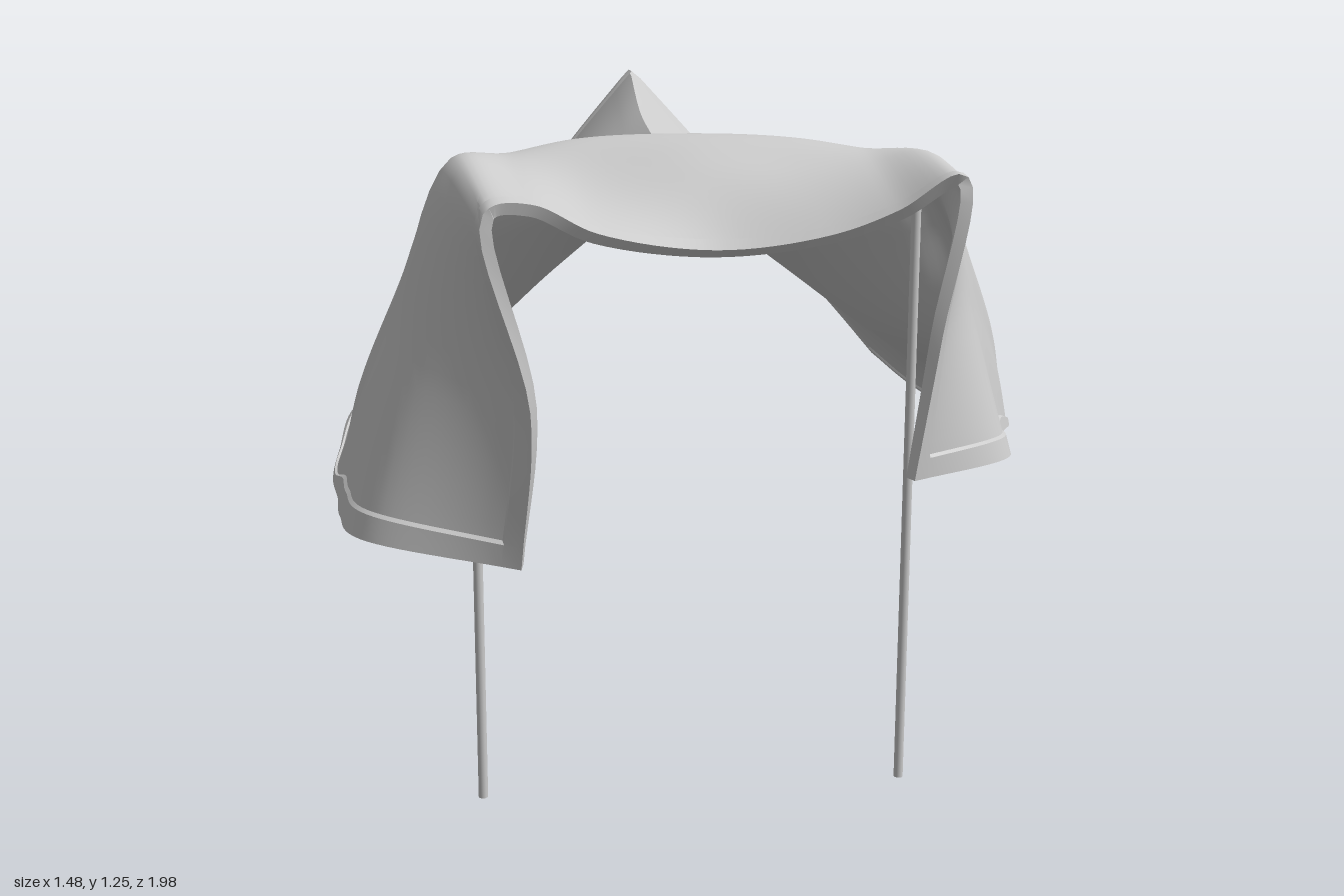
import * as THREE from 'three';
import { toCreasedNormals } from 'three/addons/utils/BufferGeometryUtils.js';

const line = (...pts) => new THREE.CatmullRomCurve3(pts.map(p => new THREE.Vector3(...p)));

// Lines running back to front along the sheet, one point per station
const ridge = line([-0.02, 1.21, -0.965], [-0.02, 1.155, -0.5], [-0.01, 1.14, -0.05], [-0.01, 1.133, 0.3],
  [0, 1.145, 0.565], [0, 1.237, 0.63], [0.01, 1.2, 0.75], [0.04, 1.065, 0.885]);

// Each side: quarter, valley, fold from pole top to hem, skirt, hem
const leftSide = [
  line([0.13, 1.045, -0.975], [0.2, 0.95, -0.5], [0.25, 0.925, -0.02], [0.24, 0.935, 0.3],
    [0.2, 1.095, 0.545], [0.2, 1.228, 0.63], [0.2, 1.19, 0.76], [0.24, 1.09, 0.895]),
  line([0.28, 0.875, -0.98], [0.37, 0.785, -0.5], [0.52, 0.69, 0], [0.5, 0.775, 0.3],
    [0.42, 1.035, 0.52], [0.33, 1.205, 0.63], [0.33, 1.2, 0.76], [0.36, 1.135, 0.91]),
  line([0.43, 0.705, -0.985], [0.53, 0.63, -0.5], [0.69, 0.565, 0.01], [0.655, 0.775, 0.3],
    [0.53, 1.05, 0.5], [0.46, 1.175, 0.63], [0.44, 1.215, 0.77], [0.46, 1.195, 0.93]),
  line([0.55, 0.57, -0.99], [0.62, 0.54, -0.5], [0.712, 0.542, 0.02], [0.685, 0.68, 0.3],
    [0.6, 0.84, 0.5], [0.55, 0.89, 0.65], [0.505, 0.93, 0.79], [0.42, 0.93, 0.948]),
  line([0.655, 0.445, -0.99], [0.68, 0.47, -0.5], [0.728, 0.52, 0.03], [0.705, 0.585, 0.3],
    [0.645, 0.625, 0.5], [0.605, 0.645, 0.66], [0.575, 0.665, 0.82], [0.38, 0.672, 0.958]),
];

const rightSide = [
  line([-0.16, 1.04, -0.975], [-0.17, 1.02, -0.5], [-0.25, 0.93, -0.05], [-0.24, 0.935, 0.3],
    [-0.2, 1.09, 0.545], [-0.2, 1.228, 0.63], [-0.19, 1.185, 0.76], [-0.17, 1.1, 0.92]),
  line([-0.29, 0.87, -0.98], [-0.33, 0.85, -0.55], [-0.5, 0.68, -0.05], [-0.49, 0.73, 0.3],
    [-0.4, 1.02, 0.52], [-0.32, 1.2, 0.63], [-0.31, 1.2, 0.77], [-0.28, 1.155, 0.955]),
  line([-0.42, 0.69, -0.985], [-0.53, 0.62, -0.6], [-0.665, 0.5, -0.05], [-0.615, 0.72, 0.3],
    [-0.485, 1.02, 0.5], [-0.43, 1.17, 0.63], [-0.41, 1.215, 0.78], [-0.35, 1.15, 0.985]),
  line([-0.53, 0.535, -0.99], [-0.64, 0.49, -0.64], [-0.697, 0.463, -0.08], [-0.655, 0.6, 0.3],
    [-0.575, 0.8, 0.5], [-0.545, 0.86, 0.65], [-0.51, 0.87, 0.8], [-0.28, 0.8, 0.93]),
  line([-0.63, 0.385, -0.99], [-0.73, 0.39, -0.67], [-0.72, 0.43, -0.1], [-0.69, 0.485, 0.3],
    [-0.66, 0.51, 0.5], [-0.64, 0.525, 0.66], [-0.59, 0.535, 0.82], [-0.305, 0.49, 0.865]),
];

// Hem width at either end of each parameter
const hemU = [0.014, 0.014], hemV = [0.007, 0.017];

// Sample parameters, with an extra pair at each end for the hem step
function params(n, [start, end]) {
  const list = [0, start, start + 0.002];
  for (let i = 1; i < n; i++) if (i / n > start + 0.004 && i / n < 0.996 - end) list.push(i / n);
  return [...list, 0.998 - end, 1 - end, 1];
}

// One row across the sheet: a sharp ridge at the back, blending to a smooth arch in front
function crossSection(v) {
  const top = ridge.getPoint(v);
  const left = leftSide.map(c => c.getPoint(v));
  const right = rightSide.map(c => c.getPoint(v));
  const halves = [right, left].map(side => new THREE.CatmullRomCurve3([top, ...side]));
  const whole = new THREE.CatmullRomCurve3([...right.reverse(), top, ...left]);
  const arch = THREE.MathUtils.smoothstep(v, 0.5, 0.7);
  return u => halves[u < 0.5 ? 0 : 1].getPoint(Math.abs(u * 2 - 1)).lerp(whole.getPoint(u), arch);
}

// Cloth of real thickness lofted over the lines, thicker along the hem
function clothGeometry() {
  const us = params(80, hemU), vs = params(98, hemV);
  const nu = us.length, nv = vs.length, count = nu * nv;
  const mid = [];
  for (const v of vs) {
    const section = crossSection(v);
    for (const u of us) mid.push(...section(u).toArray());
  }
  const upper = [];
  for (let j = 0; j < nv - 1; j++) {
    for (let i = 0; i < nu - 1; i++) {
      const a = j * nu + i, b = a + nu;
      upper.push(a, b, a + 1, a + 1, b, b + 1);
    }
  }
  const sheet = new THREE.BufferGeometry();
  sheet.setAttribute('position', new THREE.Float32BufferAttribute(mid, 3));
  sheet.setIndex(upper);
  sheet.computeVertexNormals();
  const normals = sheet.attributes.normal.array;

  // Push both faces away from the middle surface
  const position = new Float32Array(count * 6);
  for (let k = 0; k < count; k++) {
    const i = k % nu, j = Math.floor(k / nu);
    const hem = i < 2 || j < 2 || i > nu - 3 || j > nv - 3;
    const half = hem ? 0.011 : 0.006;
    for (let c = 0; c < 3; c++) {
      const m = mid[k * 3 + c], o = normals[k * 3 + c] * half;
      position[k * 3 + c] = m + o;
      position[(count + k) * 3 + c] = m - o;
    }
  }
  const index = [...upper];
  for (let t = 0; t < upper.length; t += 3) {
    index.push(upper[t] + count, upper[t + 2] + count, upper[t + 1] + count);
  }
  // Rim joining the two faces
  const rim = [];
  for (let j = 0; j < nv - 1; j++) rim.push(j * nu);
  for (let i = 0; i < nu - 1; i++) rim.push((nv - 1) * nu + i);
  for (let j = nv - 1; j > 0; j--) rim.push(j * nu + nu - 1);
  for (let i = nu - 1; i > 0; i--) rim.push(i);
  rim.forEach((a, k) => {
    const b = rim[(k + 1) % rim.length];
    index.push(a, a + count, b, b, a + count, b + count);
  });
  const geometry = new THREE.BufferGeometry();
  geometry.setAttribute('position', new THREE.BufferAttribute(position, 3));
  geometry.setIndex(index);
  return toCreasedNormals(geometry, 0.6);
}

export function createModel() {
  const group = new THREE.Group();
  const material = new THREE.MeshStandardMaterial({ color: 0xcccccc, side: THREE.DoubleSide });

  const cloth = new THREE.Mesh(clothGeometry(), material);
  cloth.name = 'drapedCloth';
  group.add(cloth);

  // Two thin poles holding up the front corners
  const height = 1.19;
  for (const [name, x, z] of [['leftPole', 0.418, 0.74], ['rightPole', -0.388, 0.78]]) {
    const pole = new THREE.Mesh(new THREE.CylinderGeometry(0.009, 0.009, height, 12), material);
    pole.name = name;
    pole.position.set(x, height / 2, z);
    group.add(pole);
  }
  return group;
}
